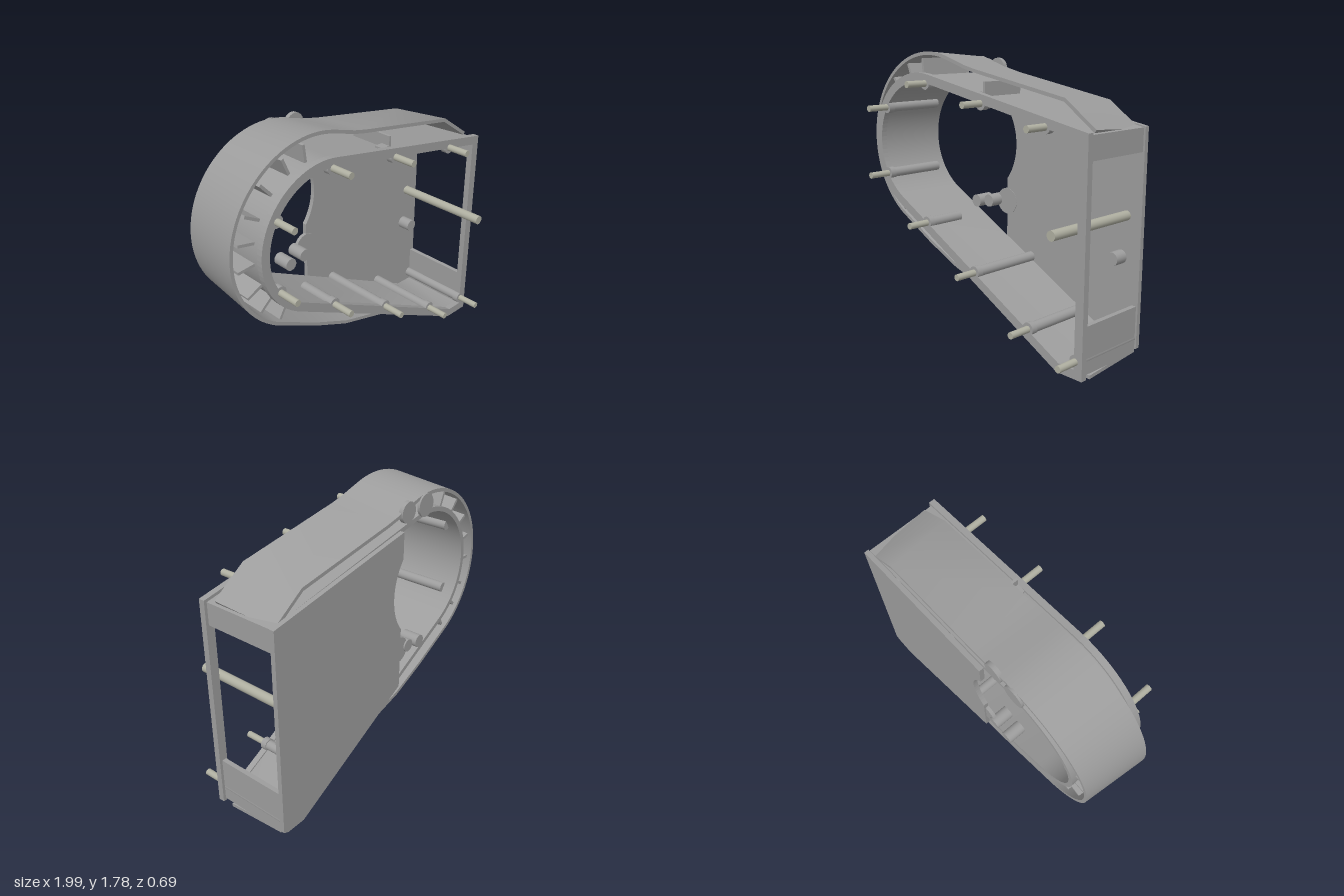
import * as THREE from 'three';
import { toCreasedNormals } from 'three/addons/utils/BufferGeometryUtils.js';

const grey = new THREE.MeshStandardMaterial({ color: 0x9d9d9d, side: THREE.DoubleSide });
const rodGrey = new THREE.MeshStandardMaterial({ color: 0xaeaea0 });
const V = (x, y) => new THREE.Vector2(x, y);

// Points on an arc, angles in degrees
function arc(cx, cy, r, a0, a1, n) {
  return Array.from({ length: n + 1 }, (_, i) => {
    const a = THREE.MathUtils.degToRad(a0 + (a1 - a0) * i / n);
    return V(cx + r * Math.cos(a), cy + r * Math.sin(a));
  });
}

// Shift a clockwise path inward by d with mitred corners
function inset(pts, d, closed = false) {
  const n = pts.length;
  const normal = (a, b) => { const t = b.clone().sub(a).normalize(); return V(t.y, -t.x); };
  return pts.map((p, i) => {
    const prev = i > 0 || closed ? normal(pts[(i + n - 1) % n], p) : null;
    const next = i < n - 1 || closed ? normal(p, pts[(i + 1) % n]) : null;
    const a = prev || next, b = next || prev;
    return p.clone().addScaledVector(a.clone().add(b), d / (1 + a.dot(b)));
  });
}

// Solid band along an open path; the back rim may be tapered inward
function band(path, thick, zFront, zBack, taper = 0) {
  const rings = [[0, zFront], [taper, zBack], [taper + thick, zBack], [thick, zFront]]
    .map(([d, z]) => inset(path, d).map(p => [p.x, p.y, z]));
  const pos = [];
  const quad = (a, b, c, d) => pos.push(...a, ...b, ...c, ...a, ...c, ...d);
  const last = path.length - 1;
  for (let k = 0; k < 4; k++) {
    const r = rings[k], s = rings[(k + 1) % 4];
    for (let i = 0; i < last; i++) quad(r[i], r[i + 1], s[i + 1], s[i]);
  }
  quad(...rings.map(r => r[0]));
  quad(...rings.map(r => r[last]).reverse());
  const geo = new THREE.BufferGeometry();
  geo.setAttribute('position', new THREE.Float32BufferAttribute(pos, 3));
  return toCreasedNormals(geo, 0.52);
}

function slab(outline, hole, zBack, depth) {
  const shape = new THREE.Shape(outline);
  if (hole) shape.holes.push(new THREE.Path(hole));
  return new THREE.ExtrudeGeometry(shape, { depth, bevelEnabled: false }).translate(0, 0, zBack);
}

// Cylinder along z
function rod(x, y, r, zBack, zFront) {
  return new THREE.CylinderGeometry(r, r, zFront - zBack, 24)
    .rotateX(Math.PI / 2).translate(x, y, (zBack + zFront) / 2);
}

export function createModel() {
  const model = new THREE.Group();
  const add = (name, geo, mat = grey) => {
    const mesh = new THREE.Mesh(geo, mat);
    mesh.name = name;
    model.add(mesh);
  };

  // Teardrop outline shared by the front flange and the inner wall
  const teardrop = [V(0.995, 0.025), V(0.81, 0.025), ...arc(-0.39, 1.185, 0.47, 242.5, 79, 40), V(0.995, 1.405)];
  add('frontFlange', slab(teardrop, inset(teardrop, 0.057, true), 0.16, 0.04));

  // Inner wall, left open at the side window
  const wall = inset(teardrop, 0.018, true);
  add('innerWall', band([V(0.977, 0.33), ...wall, V(0.977, 1.25)], 0.03, 0.16, -0.31));

  // Tapered outer skin
  const skin = [V(0.975, 0.005), V(0.8, 0.01), V(0.25, 0.29), V(0.05, 0.345), V(-0.15, 0.4), V(-0.41, 0.515),
    ...arc(-0.4, 1.185, 0.6, 238, 74, 44),
    V(-0.15, 1.737), V(-0.07, 1.712), V(0.02, 1.692), V(0.75, 1.565), V(0.97, 1.412)];
  add('outerSkin', band(skin, 0.022, 0.105, -0.31, 0.038));

  // Back plate with a round bite in its edge
  add('backPlate', slab([V(0.985, 0.065), V(0.985, 1.395), V(-0.1, 1.585),
    ...arc(-0.4, 1.18, 0.38, 37.9, -37.9, 20), V(-0.1, 0.53), V(0.82, 0.05), V(0.95, 0.05)], null, -0.345, 0.03));

  // Radial ribs between wall and skin
  for (const deg of [97, 113, 132, 151, 168, 185, 205, 221, 239]) {
    const a = THREE.MathUtils.degToRad(deg);
    add('rib', new THREE.BoxGeometry(0.12, 0.018, 0.39).rotateZ(a)
      .translate(-0.395 + 0.5 * Math.cos(a), 1.185 + 0.5 * Math.sin(a), -0.085));
  }
  add('topRib', new THREE.BoxGeometry(0.016, 0.1, 0.3).translate(0.17, 1.575, 0.01));
  add('topRibFoot', new THREE.BoxGeometry(0.07, 0.03, 0.06).translate(0.14, 1.55, 0.13));

  // Screws with bosses: x, y, rear end of boss
  const screws = [[-0.33, 1.59, 0.1], [-0.74, 1.41, -0.23], [-0.74, 0.96, -0.23], [-0.33, 0.685, -0.08],
    [0.125, 0.45, -0.315], [0.585, 0.215, -0.315], [0.945, 0.13, -0.315], [0.69, 1.41, -0.315], [0.18, 1.5, -0.315]];
  for (const [x, y, zBack] of screws) {
    add('screw', rod(x, y, 0.021, 0.1, 0.345), rodGrey);
    add('screwBoss', rod(x, y, 0.033, zBack, 0.17));
    add('screwSeat', rod(x, y, 0.04, 0.16, 0.2));
  }
  add('longPin', rod(0.88, 0.865, 0.03, -0.315, 0.347), rodGrey);

  // Studs on the back plate, and two passing beside its edge
  for (const [x, y, zBack] of [[-0.31, 0.77, -0.345], [-0.19, 0.79, -0.345], [0.6, 1.32, -0.32], [0.85, 0.61, -0.32]])
    add('stud', rod(x, y, 0.042, zBack, -0.225));
  add('edgeDisc', rod(-0.1, 0.79, 0.088, -0.335, -0.312));

  // Thin discs at the top rear
  add('topDisc', rod(-0.35, 1.675, 0.072, -0.322, -0.305));
  add('topDisc', rod(-0.18, 1.675, 0.066, -0.318, -0.29));

  return model;
}
